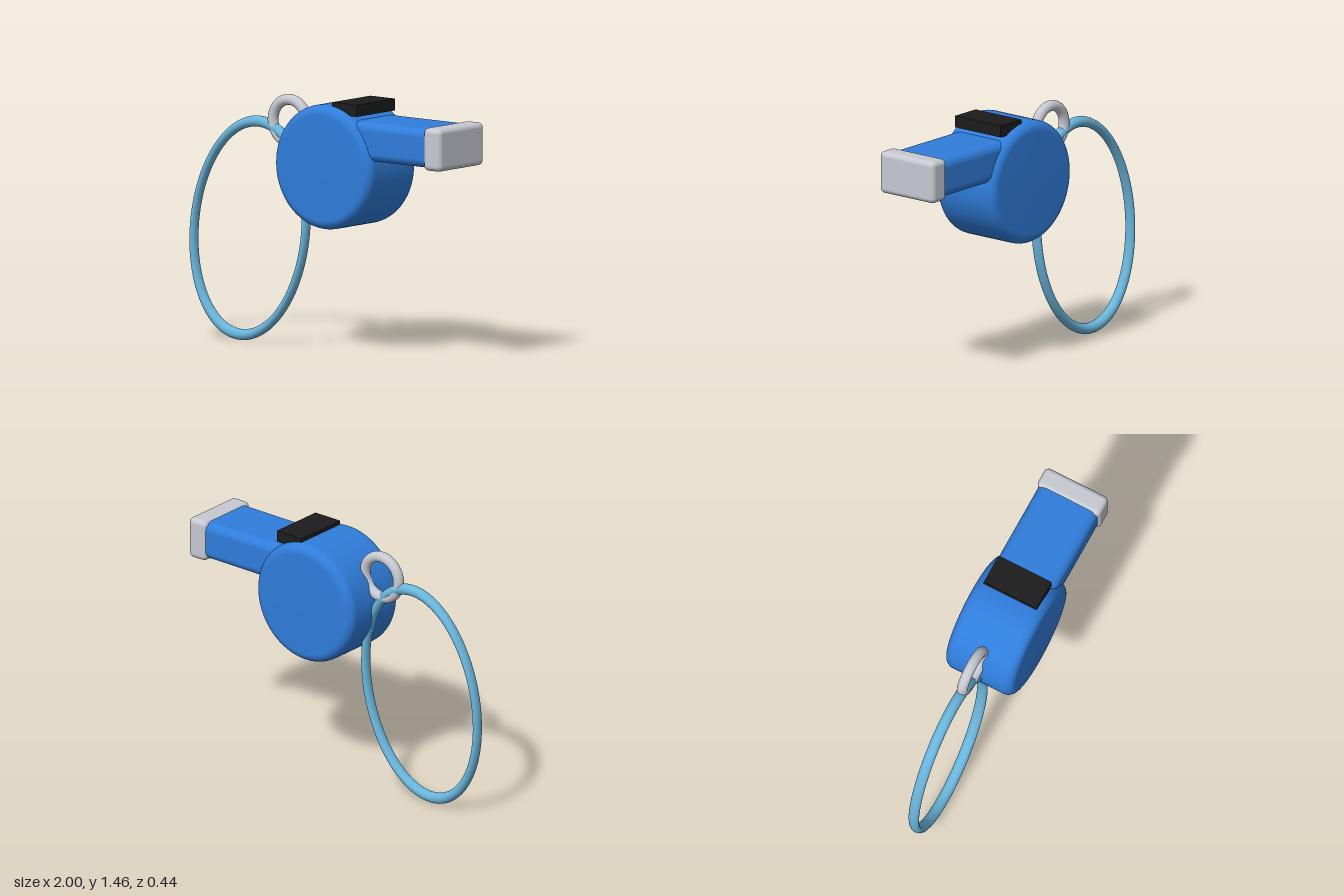
import * as THREE from 'three';
import { RoundedBoxGeometry } from 'three/addons/geometries/RoundedBoxGeometry.js';

const material = (name, color) => {
  const m = new THREE.MeshStandardMaterial({ color });
  m.name = name;
  return m;
};

export function createModel() {
  const group = new THREE.Group();
  const blue = material('blue plastic', 0x2f7ddb);
  const silver = material('silver', 0xc6c9d1);
  const black = material('black', 0x1c1c1c);
  const cordBlue = material('light blue cord', 0x68b5dc);

  const add = (name, geometry, mat, x, y, z = 0) => {
    const mesh = new THREE.Mesh(geometry, mat);
    mesh.name = name;
    mesh.position.set(x, y, z);
    group.add(mesh);
    return mesh;
  };

  // Round whistle chamber: a drum with rounded rims and barely domed faces
  const radius = 0.357, half = 0.218, bevel = 0.055;
  const upper = [];
  for (let i = 0; i <= 8; i++) {
    const a = (i / 8) * Math.PI / 2;
    upper.push(new THREE.Vector2(
      radius - bevel + bevel * Math.cos(a),
      half - bevel + bevel * Math.sin(a)));
  }
  upper.push(new THREE.Vector2(0.1, half + 0.004), new THREE.Vector2(0, half + 0.004));
  const lower = upper.map(p => new THREE.Vector2(p.x, -p.y)).reverse();
  const drum = new THREE.LatheGeometry([...lower, ...upper], 72);
  drum.rotateX(Math.PI / 2);
  add('chamber', drum, blue, 0.135, 1.081);

  // Mouthpiece tube and its tip
  add('mouthpiece', new RoundedBoxGeometry(0.74, 0.224, 0.38, 6, 0.05), blue, 0.56, 1.253);
  add('mouthpieceTip', new RoundedBoxGeometry(0.127, 0.245, 0.404, 5, 0.03), silver, 0.934, 1.253);

  // Dark air slot on top
  add('airSlot', new THREE.BoxGeometry(0.182, 0.068, 0.34), black, 0.272, 1.423);

  // Metal ring at the back
  add('ring', new THREE.TorusGeometry(0.124, 0.031, 20, 56), silver, -0.271, 1.289);

  // Oval cord loop, leaning towards the ring
  const cord = add('cordLoop', new THREE.TorusGeometry(0.6245, 0.032, 18, 112), cordBlue, -0.565, 0.65);
  cord.scale.x = 0.647;
  cord.rotation.z = -0.186;

  return group;
}
